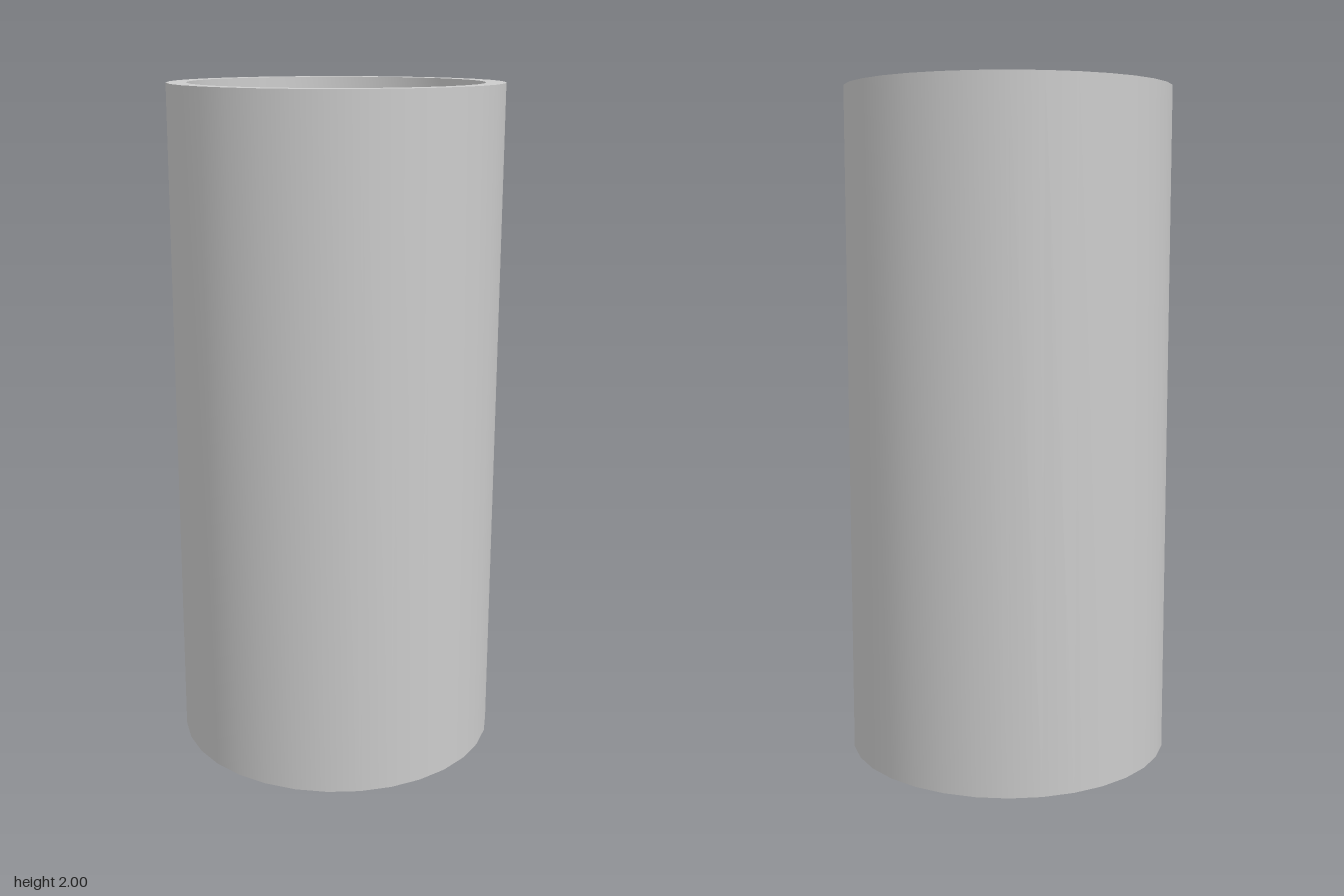
import * as THREE from 'three';
import { toCreasedNormals } from 'three/addons/utils/BufferGeometryUtils.js';

export function createModel() {
  const group = new THREE.Group();
  const material = new THREE.MeshStandardMaterial({ color: 0xcccccc });

  // Half section, from the bottom centre round the outside to the top centre
  const profile = [
    // blind hole in the underside
    [0, 0.167], [0.112, 0.167], [0.112, 0.092],
    // shallow conical floor, tapered wall and straight wall of the bottom recess
    [0.39, 0.13], [0.428, 0.068], [0.428, 0],
    // outer wall
    [0.485, 0], [0.485, 2],
    // stepped recess in the top
    [0.428, 2], [0.428, 1.82], [0.267, 1.82], [0.267, 1.735], [0, 1.735],
  ].map(([r, y]) => new THREE.Vector2(r, y));

  // Smooth around the axis, sharp at every step of the profile
  const geometry = toCreasedNormals(new THREE.LatheGeometry(profile, 32), 0.4);
  const body = new THREE.Mesh(geometry, material);
  body.name = 'recessedCylinder';
  group.add(body);
  return group;
}
